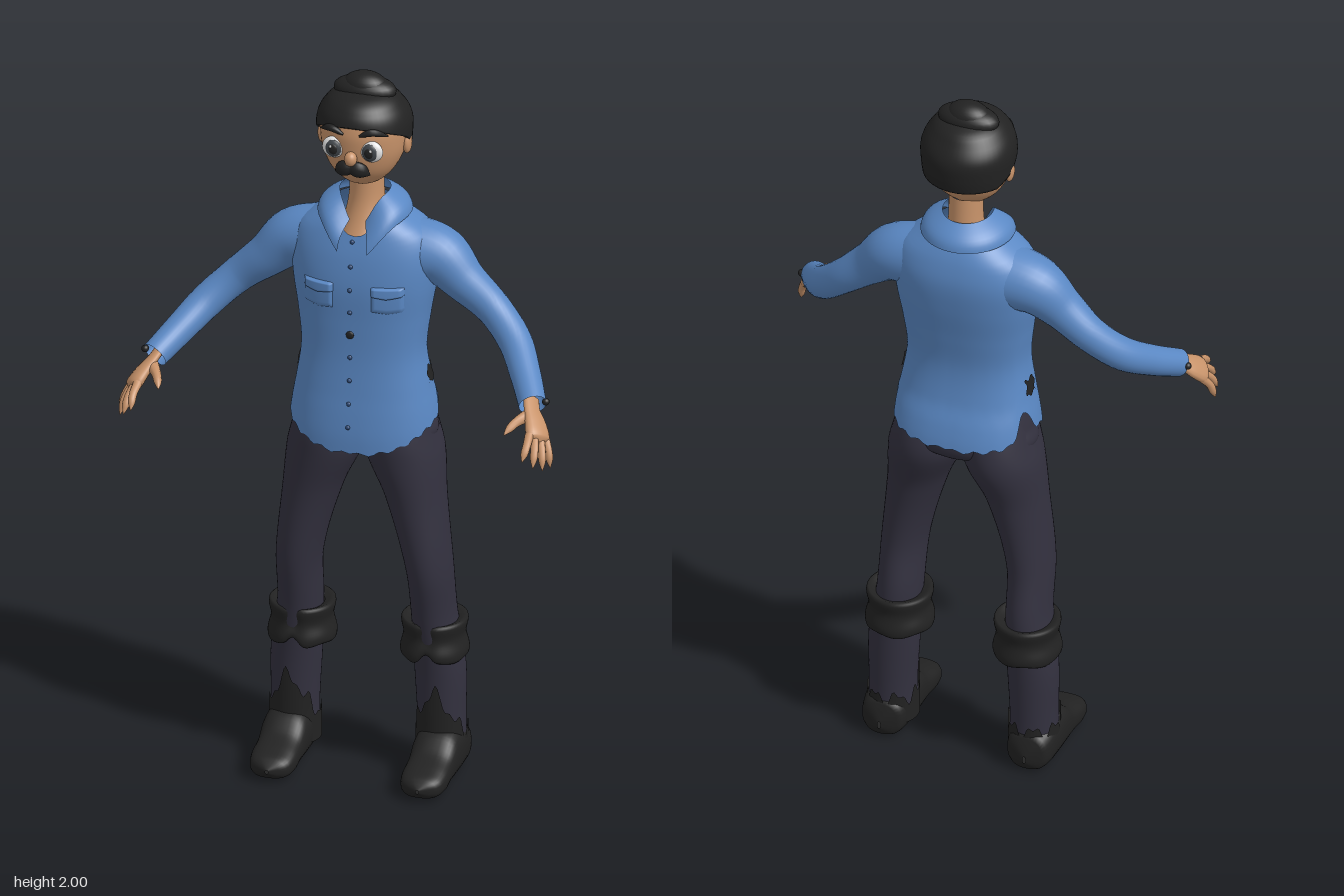
import * as THREE from 'three';
import { mergeVertices } from 'three/addons/utils/BufferGeometryUtils.js';

const V = (x, y, z) => new THREE.Vector3(x, y, z);
const lerp = THREE.MathUtils.lerp;
const mat = (name, color, side = THREE.FrontSide) => {
  const m = new THREE.MeshStandardMaterial({ color, side });
  m.name = name;
  return m;
};

// Surface from a rule fn(u, v); outward is du x dv
function surface(fn, nu, nv) {
  const pos = [], idx = [];
  for (let j = 0; j <= nv; j++)
    for (let i = 0; i <= nu; i++) pos.push(...fn(i / nu, j / nv).toArray());
  for (let j = 0; j < nv; j++)
    for (let i = 0; i < nu; i++) {
      const a = j * (nu + 1) + i, b = a + 1, d = a + nu + 1, c = d + 1;
      idx.push(a, b, c, a, c, d);
    }
  let g = new THREE.BufferGeometry();
  g.setAttribute('position', new THREE.Float32BufferAttribute(pos, 3));
  g.setIndex(idx);
  g = mergeVertices(g, 1e-5);
  g.computeVertexNormals();
  return g;
}

// Smoothly interpolates rows whose first column is the ascending key
function sample(rows, k) {
  let i = 0;
  while (i < rows.length - 2 && k > rows[i + 1][0]) i++;
  const a = rows[Math.max(i - 1, 0)], b = rows[i], c = rows[i + 1], d = rows[Math.min(i + 2, rows.length - 1)];
  const t = THREE.MathUtils.clamp((k - b[0]) / (c[0] - b[0]), 0, 1);
  return b.map((_, n) => {
    const m0 = (c[n] - a[n]) / (c[0] - a[0]) * (c[0] - b[0]);
    const m1 = (d[n] - b[n]) / (d[0] - b[0]) * (c[0] - b[0]);
    const t2 = t * t, t3 = t2 * t;
    return (2 * t3 - 3 * t2 + 1) * b[n] + (t3 - 2 * t2 + t) * m0 + (3 * t2 - 2 * t3) * c[n] + (t3 - t2) * m1;
  });
}

// Point on a body section; rows are [y, centreX, halfX, frontZ, backZ], angle 0 faces front
function section(rows, y, th, n = 2, grow = 0) {
  const [, cx, rx, zf, zb] = sample(rows, y), s = Math.sin(th), c = Math.cos(th), e = 2 / n;
  return V(cx + (rx + grow) * Math.sign(s) * Math.abs(s) ** e, y,
    (zf + zb) / 2 + ((zf - zb) / 2 + grow) * Math.sign(c) * Math.abs(c) ** e);
}
const body = (rows, lo, hi, n = 2, nv = 32, grow = 0, nu = 48) => surface((u, v) => {
  const th = (u - 0.5) * Math.PI * 2;
  return section(rows, lerp(lo(th), hi(th), v), th, n, grow);
}, nu, nv);
const at = y => () => y;

// Limb along a curve with changing radius; flat squashes it across the hint direction
function limb(pts, radii, hint = V(0, 1, 0), flat = 1, nu = 16, nv = 24) {
  const curve = new THREE.CatmullRomCurve3(pts.map(p => V(...p)));
  const rows = radii.map((r, i) => [i / (radii.length - 1), r]);
  return surface((u, v) => {
    const T = curve.getTangent(v), N = hint.clone().addScaledVector(T, -hint.dot(T)).normalize();
    const B = T.clone().cross(N), a = u * Math.PI * 2, r = Math.max(sample(rows, v)[1], 0);
    return curve.getPoint(v).addScaledVector(N, Math.cos(a) * r).addScaledVector(B, Math.sin(a) * r * flat);
  }, nu, nv);
}
const ball = (x, y, z, rx, ry = rx, rz = rx) =>
  new THREE.SphereGeometry(1, 24, 16).scale(rx, ry, rz).translate(x, y, z);

function mirror(g) {
  const m = g.clone().scale(-1, 1, 1), a = m.index.array;
  for (let i = 0; i < a.length; i += 3) [a[i], a[i + 1]] = [a[i + 1], a[i]];
  return m;
}

const TORSO = [
  [0.94, 0, 0.2, 0.05, -0.25], [1.0, 0, 0.2, 0.05, -0.25], [1.06, 0, 0.192, 0.045, -0.235],
  [1.12, 0, 0.18, 0.038, -0.212], [1.22, 0, 0.166, 0.03, -0.197], [1.32, 0, 0.176, 0.03, -0.207],
  [1.42, 0, 0.192, 0.032, -0.222], [1.5, 0, 0.196, 0.022, -0.226], [1.56, 0, 0.175, 0.006, -0.212],
  [1.6, 0, 0.12, -0.008, -0.192], [1.63, 0, 0.08, -0.03, -0.17]];
const LEG = [
  [0.04, 0.2, 0.064, -0.055, -0.188], [0.15, 0.2, 0.064, -0.055, -0.188], [0.3, 0.196, 0.068, -0.05, -0.192],
  [0.45, 0.183, 0.059, -0.03, -0.195], [0.6, 0.177, 0.061, 0, -0.175], [0.8, 0.14, 0.08, 0.01, -0.19],
  [0.92, 0.108, 0.102, 0.025, -0.228], [0.98, 0.1, 0.095, 0.03, -0.23], [1.08, 0.09, 0.08, 0.02, -0.205]];
const PELVIS = [
  [0.92, 0, 0.03, -0.03, -0.14], [0.94, 0, 0.12, 0.01, -0.2], [0.97, 0, 0.19, 0.03, -0.228],
  [1.03, 0, 0.186, 0.03, -0.225], [1.12, 0, 0.17, 0.02, -0.2]];
const HEAD = [
  [1.69, 0, 0.004, -0.066, -0.075], [1.7, 0, 0.038, -0.035, -0.11], [1.72, 0, 0.066, -0.01, -0.138],
  [1.75, 0, 0.09, 0.014, -0.168], [1.79, 0, 0.108, 0.028, -0.19], [1.83, 0, 0.115, 0.034, -0.2],
  [1.87, 0, 0.115, 0.034, -0.205], [1.91, 0, 0.1, 0.02, -0.185], [1.94, 0, 0.055, -0.02, -0.15]];
const HAIR = [
  [1.78, 0, 0.12, 0.032, -0.208], [1.83, 0, 0.126, 0.042, -0.216], [1.88, 0, 0.125, 0.042, -0.215],
  [1.92, 0, 0.106, 0.028, -0.19], [1.95, 0, 0.07, -0.01, -0.155], [1.965, 0, 0.004, -0.08, -0.09]];
const NECK = [
  [1.52, 0, 0.075, 0.0, -0.17], [1.58, 0, 0.058, -0.035, -0.165], [1.64, 0, 0.047, -0.055, -0.158], [1.73, 0, 0.045, -0.06, -0.152]];

export function createModel() {
  const root = new THREE.Group();
  root.name = 'standingMan';
  const shirt = mat('shirtBlue', 0x5a88c4, THREE.DoubleSide), trim = mat('buttonBlue', 0x2f4a75);
  const pants = mat('trouserNavy', 0x33313f), black = mat('black', 0x222222, THREE.DoubleSide);
  const skin = mat('skin', 0xc8936a), white = mat('eyeWhite', 0xe2e2e2), iris = mat('irisGrey', 0x41464b);
  const add = (name, g, m) => {
    const mesh = new THREE.Mesh(g, m);
    mesh.name = name;
    root.add(mesh);
  };
  const pair = (name, g, m) => {
    add(name + 'Left', g, m);
    add(name + 'Right', mirror(g), m);
  };

  // Shirt with a ragged hem, side notches and an open neck
  const hem = th => {
    const a = Math.abs(th), s = Math.sin(a) ** 2;
    return (a < Math.PI / 2 ? 0.955 + 0.07 * s : 1.0 + 0.025 * s)
      + 0.075 * Math.exp(-(((a - 1.87) / 0.2) ** 2)) + 0.005 * Math.sin(a * 23);
  };
  add('shirtBody', body(TORSO, hem, th => 1.625 - 0.06 * Math.exp(-((th / 0.3) ** 2)), 2.4, 48, 0, 96), shirt);
  add('collar', surface((u, v) => {
    const th = lerp(0.33, Math.PI * 2 - 0.33, u), d = Math.min(th, Math.PI * 2 - th);
    const f = Math.exp(-((d / 0.65) ** 2)) * 1.25, bend = v - 0.25 * Math.sin(v * Math.PI);
    return V(lerp(0.125, 0.066, bend) * Math.sin(th), lerp(1.608 - 0.085 * f, 1.667 - 0.07 * f, v),
      -0.092 + lerp(0.128, 0.074, bend) * Math.cos(th));
  }, 48, 8), shirt);

  // Sleeves
  pair('sleeve', limb([[0.11, 1.5, -0.11], [0.2, 1.485, -0.11], [0.27, 1.427, -0.1], [0.35, 1.36, -0.095],
    [0.42, 1.295, -0.055], [0.472, 1.24, 0.02], [0.517, 1.193, 0.1]],
  [0.09, 0.078, 0.058, 0.047, 0.045, 0.041, 0.037], V(0, 1, 0), 1, 28, 40), shirt);
  pair('cuffButton', ball(0.548, 1.2, 0.085, 0.01), black);

  // Chest pockets and flaps follow the shirt front
  const frontZ = (x, y) => {
    const [, , rx, zf, zb] = sample(TORSO, y);
    return (zf + zb) / 2 + (zf - zb) / 2 * (1 - (Math.abs(x) / rx) ** 2.4) ** (1 / 2.4);
  };
  const pocket = (y0, y1, rise, dip) => surface((u, v) => {
    const x = lerp(0.05, 0.138, u), y = lerp(y0 - dip * (1 - Math.abs(2 * u - 1)) * (1 - v), y1, v);
    const edge = u === 0 || u === 1 || v === 0 || v === 1;
    return V(x, y, frontZ(x, y) + (edge ? -0.003 : rise));
  }, 12, 8);
  pair('pocket', pocket(1.362, 1.425, 0.006, 0.006), shirt);
  pair('pocketFlap', pocket(1.41, 1.436, 0.011, 0.01), shirt);
  for (let i = 0; i < 9; i++) {
    const y = 1.55 - i * 0.065, big = i === 4;
    add('shirtButton', ball(-0.005, y, frontZ(0, y) + 0.001, big ? 0.011 : 0.006, big ? 0.011 : 0.006, 0.005), big ? black : trim);
  }
  // Torn side patches
  pair('sidePatch', surface((u, v) => {
    const y = lerp(1.13, 1.175, v) + 0.005 * Math.sin(u * 9);
    return section(TORSO, y, lerp(1.5, 1.76, u) + 0.03 * Math.sin(v * 8), 2.4, 0.004);
  }, 8, 8), black);

  // Trousers
  add('trouserSeat', body(PELVIS, at(0.92), at(1.12)), pants);
  pair('trouserLeg', body(LEG, at(0.04), at(1.08), 2, 48), pants);

  // Folded boot cuffs, split at the front
  pair('bootCuff', surface((u, v) => {
    const th = (u - 0.5) * Math.PI * 2, f = Math.exp(-((th / 0.22) ** 2));
    const [, y, r] = sample([[0, 0.345, -0.022], [0.15, 0.332, -0.002], [0.3, 0.35, 0.003], [0.6, 0.395, -0.006],
      [0.8, 0.43, 0], [0.9, 0.441, -0.006], [1, 0.43, -0.03]], v);
    const low = v < 0.6 ? 1 - v / 0.6 : 0;
    return V(0.181 + (0.088 + r) * Math.sin(th), y + f * low * 0.035 + 0.004 * low * Math.sin(th * 5),
      -0.122 + (0.093 + r - 0.008 * f) * Math.cos(th));
  }, 56, 20), black);

  // Boots: worn shaft patches and shoe
  const worn = th => 0.12 + 0.12 * Math.exp(-((th / 0.8) ** 2)) + 0.018 * Math.sin(th * 7 + 1) + 0.012 * Math.sin(th * 13);
  pair('bootShaft', body(LEG, at(0.04), worn, 2, 16, 0.005, 72), black);
  const SHOE = [[-0.205, 0.004, 0.05, 0.03], [-0.195, 0.045, 0.1, 0.008], [-0.17, 0.06, 0.115, 0.002], [-0.12, 0.065, 0.135, 0],
    [-0.05, 0.064, 0.13, 0], [0, 0.061, 0.095, 0.004], [0.06, 0.061, 0.075, 0.004], [0.1, 0.045, 0.06, 0.01], [0.118, 0.004, 0.04, 0.03]];
  pair('shoe', surface((u, v) => {
    const a = u * Math.PI * 2, [z, w, top, low] = sample(SHOE, lerp(-0.205, 0.118, v));
    const c = Math.cos(a), s = Math.sin(a);
    return V(0.206 + w * Math.sign(c) * Math.abs(c) ** 0.75,
      (top + low) / 2 + (top - low) / 2 * Math.sign(s) * Math.abs(s) ** 0.75, z);
  }, 32, 32), black);

  // Hands
  const across = V(0.5, -0.4, -0.77).normalize();
  pair('palm', limb([[0.508, 1.203, 0.085], [0.52, 1.185, 0.115], [0.538, 1.16, 0.142], [0.553, 1.135, 0.17], [0.558, 1.125, 0.18]],
    [0.025, 0.027, 0.036, 0.038, 0.012], across, 0.5), skin);
  [[0.535, 1.1, 0.256], [0.56, 1.078, 0.24], [0.578, 1.062, 0.213], [0.588, 1.055, 0.175]].forEach((tip, i) => {
    const base = V(0.55, 1.138, 0.168).addScaledVector(across, -0.029 + i * 0.0195), end = V(...tip);
    const mid = base.clone().lerp(end, 0.5).add(V(0.003, 0.006, 0.003));
    pair('finger', limb([base.toArray(), mid.toArray(), tip], [0.012, 0.011, 0.0105, 0.0095, 0.001], across, 1, 10, 12), skin);
  });
  pair('thumb', limb([[0.518, 1.178, 0.125], [0.49, 1.168, 0.17], [0.472, 1.15, 0.213]],
    [0.018, 0.015, 0.012, 0.01, 0.001], across, 1, 10, 12), skin);

  // Head
  add('neck', body(NECK, at(1.52), at(1.73), 2, 12), skin);
  add('head', body(HEAD, at(1.69), at(1.94)), skin);
  pair('ear', ball(0.116, 1.812, -0.088, 0.012, 0.03, 0.02), skin);
  add('nose', ball(0, 1.805, 0.04, 0.017, 0.02, 0.018), skin);
  pair('eye', ball(0.052, 1.826, 0.022, 0.031, 0.03, 0.016), white);
  pair('iris', ball(0.05, 1.826, 0.031, 0.022, 0.024, 0.01), iris);
  pair('pupil', ball(0.049, 1.826, 0.037, 0.013, 0.015, 0.006), black);
  pair('eyeGlint', ball(0.055, 1.835, 0.042, 0.004, 0.004, 0.002), white);
  pair('eyebrow', limb([[0.022, 1.872, 0.036], [0.055, 1.884, 0.03], [0.092, 1.868, 0.004]], [0.003, 0.009, 0.009, 0.002], V(0, 1, 0), 1, 10, 12), black);
  pair('moustache', limb([[-0.002, 1.778, 0.036], [0.022, 1.773, 0.034], [0.048, 1.756, 0.02]], [0.016, 0.021, 0.018, 0.001], V(0, 1, 0), 0.7, 14, 14), black);

  // Hair cap and bun
  const line = th => {
    const c = Math.cos(th);
    return c > 0 ? 1.82 + 0.072 * c ** 0.8 : 1.82 - 0.03 * Math.min(1, -c * 2);
  };
  add('hairCap', surface((u, v) => {
    const th = (u - 0.5) * Math.PI * 2;
    return section(HAIR, lerp(line(th), 1.965, Math.max(0, v - 0.04) / 0.96), th, 2, v === 0 ? -0.014 : 0);
  }, 48, 25), black);
  add('bun', ball(0, 1.952, -0.09, 0.085, 0.036, 0.05), black);
  add('bunTop', ball(0, 1.962, -0.09, 0.06, 0.038, 0.044), black);
  return root;
}
